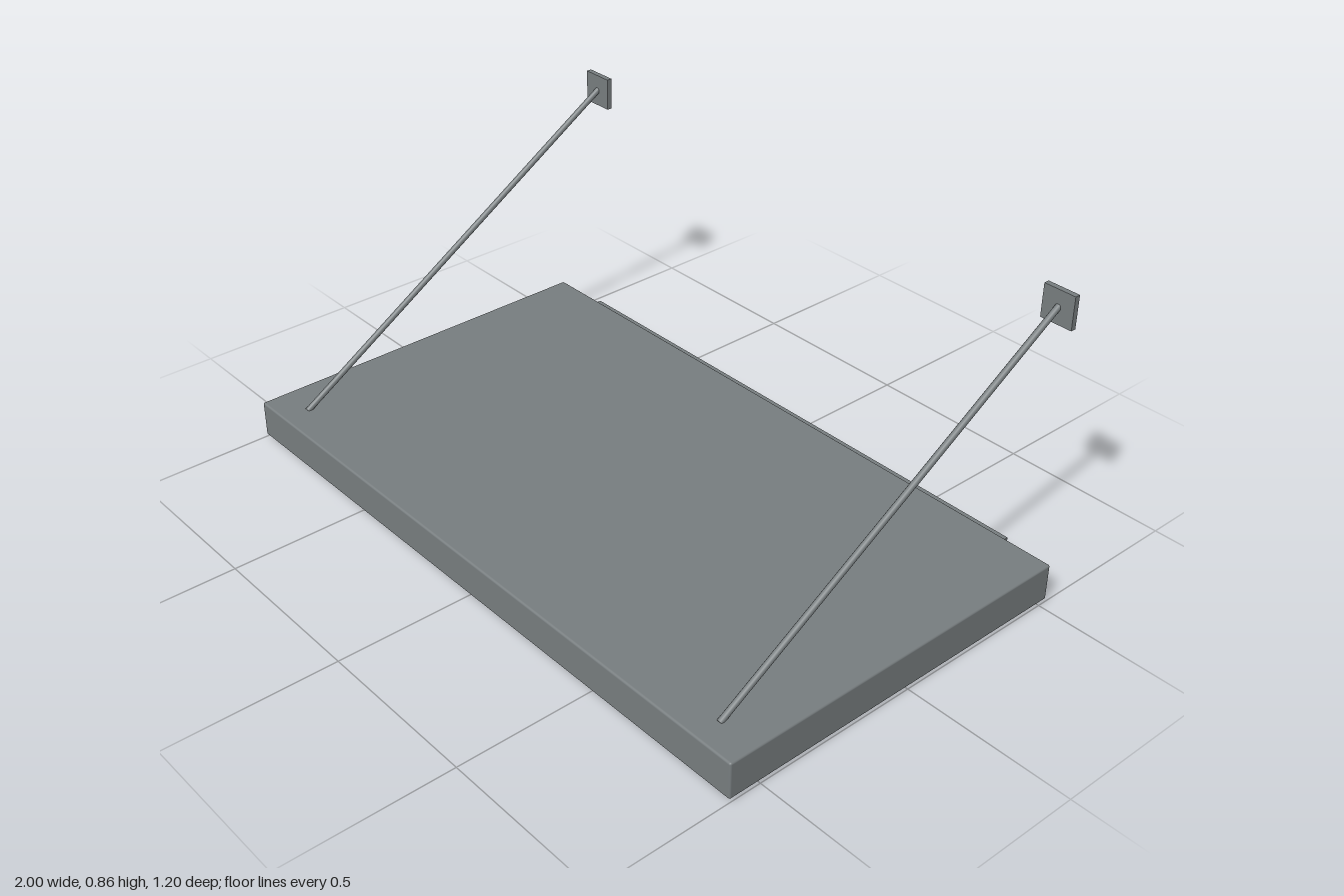
import * as THREE from 'three';
import { RoundedBoxGeometry } from 'three/addons/geometries/RoundedBoxGeometry.js';

export function createModel() {
  const group = new THREE.Group();
  const grey = new THREE.MeshStandardMaterial({ color: 0x777d7f });
  grey.name = 'grey metal';
  const warm = new THREE.MeshStandardMaterial({ color: 0xbcae92 });
  warm.name = 'warm light panel';

  const add = (name, geometry, material, x, y, z) => {
    const mesh = new THREE.Mesh(geometry, material);
    mesh.name = name;
    mesh.position.set(x, y, z);
    group.add(mesh);
    return mesh;
  };

  // Canopy slab with softened edges
  add('canopySlab', new RoundedBoxGeometry(2, 0.11, 1.126, 2, 0.006), grey, 0, 0.063, 0.035);

  // Wall rail along the back edge
  add('wallRail', new THREE.BoxGeometry(1.68, 0.083, 0.026), grey, 0, 0.063, -0.538);

  // Thin light panel under the slab
  add('lightPanel', new THREE.BoxGeometry(0.48, 0.009, 0.32), warm, 0, 0.0045, 0.04);

  // Mirrored tie rods, each with a square wall plate
  for (const side of [-1, 1]) {
    const label = side > 0 ? 'left' : 'right';
    const start = new THREE.Vector3(side * 0.88, 0.115, 0.52);
    const end = new THREE.Vector3(side * 0.88, 0.81, -0.586);
    const direction = end.clone().sub(start);
    const middle = start.clone().lerp(end, 0.5);
    const rod = add(label + 'TieRod', new THREE.CylinderGeometry(0.009, 0.009, direction.length(), 12),
      grey, middle.x, middle.y, middle.z);
    rod.quaternion.setFromUnitVectors(new THREE.Vector3(0, 1, 0), direction.normalize());
    add(label + 'WallPlate', new THREE.BoxGeometry(0.096, 0.096, 0.016), grey, side * 0.88, 0.809, -0.59);
  }
  return group;
}
